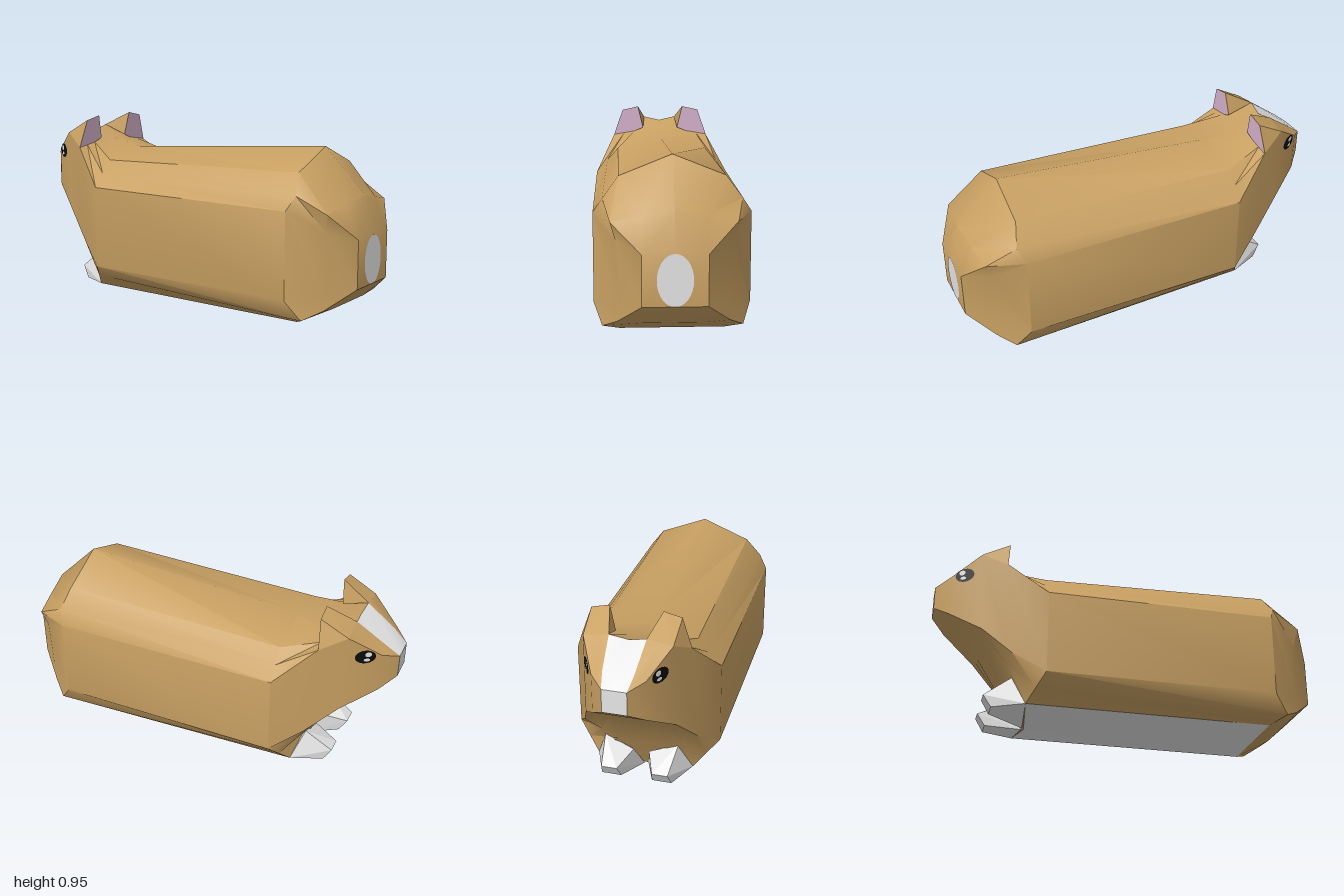
import * as THREE from 'three';
import { toCreasedNormals } from 'three/addons/utils/BufferGeometryUtils.js';
import { ConvexGeometry } from 'three/addons/geometries/ConvexGeometry.js';

const mat = (name, color) => {
  const m = new THREE.MeshStandardMaterial({ color });
  m.name = name;
  return m;
};
const V = (x, y, z = 0) => new THREE.Vector3(x, y, z);
const mid = (a, b) => a.clone().lerp(b, 0.5);
const mirror = p => V(p.x, p.y, -p.z);

// Half cross-section from spine to belly; the bevel points default to midpoints.
function section(ridge, shoulder, side, low, keel, belly, upper, lower) {
  const [r, s, d, l, k, b] = [ridge, shoulder, side, low, keel, belly].map(p => V(...p));
  return [r, s, upper ? V(...upper) : mid(s, d), d, l, lower ? V(...lower) : mid(l, k), k, b];
}

// Rectangular end section.
const endSection = (x, bottom, top, z) =>
  section([x, top], [x, top, z], [x, top, z], [x, bottom, z], [x, bottom, z], [x, bottom]);

// Body sections from nose to rump.
const makeSections = () => [
  endSection(-1, .6, .72, .06),
  section([-.93, .775], [-.93, .775, .075], [-.93, .75, .13], [-.93, .545, .13], [-.93, .545, .06], [-.93, .545]),
  section([-.77, .86], [-.78, .88, .09], [-.78, .86, .215], [-.76, .43, .226], [-.76, .43, .1], [-.76, .43]),
  section([-.65, .825], [-.65, .81, .15], [-.65, .79, .27], [-.61, .285, .29], [-.61, .2, .12], [-.61, .2]),
  section([-.45, .785], [-.45, .735, .25], [-.45, .6, .37], [-.45, .17, .37], [-.53, .04, .25], [-.5, 0]),
  section([.73, .87], [.73, .77, .25], [.73, .6, .37], [.73, .17, .37], [.73, .04, .25], [.73, .04],
    [.76, .67, .325], [.8, .075, .33]),
  section([.95, .65], [.93, .62, .15], [.89, .5, .265], [.89, .19, .25], [.88, .11, .15], [.88, .11],
    [.91, .59, .29], [.88, .12, .26]),
  endSection(1, .22, .46, .15),
];

function bodyGeometry() {
  const sections = makeSections();
  const coat = [], pale = [];
  const tri = (list, a, b, c) => {
    const area = b.clone().sub(a).cross(c.clone().sub(a)).length();
    if (area > 1e-6) list.push(a, b, c);
  };
  const quad = (list, a, b, c, d) => { tri(list, a, b, c); tri(list, a, c, d); };

  for (let i = 0; i < sections.length - 1; i++) {
    const [front, back] = [sections[i], sections[i + 1]];
    for (let j = 0; j < 7; j++) {
      const blaze = i < 2 && j === 0, belly = i === 4 && j === 6;
      const list = blaze || belly ? pale : coat;
      const q = [front[j], front[j + 1], back[j + 1], back[j]];
      quad(list, ...q);
      quad(list, ...q.map(mirror).reverse());
    }
  }
  // nose and rump end faces
  const nose = sections[0], rump = sections[7];
  quad(pale, mirror(nose[4]), nose[4], nose[3], mirror(nose[3]));
  quad(coat, rump[4], mirror(rump[4]), mirror(rump[3]), rump[3]);

  const g = toCreasedNormals(new THREE.BufferGeometry().setFromPoints([...coat, ...pale]), 0.6);
  g.addGroup(0, coat.length, 0);
  g.addGroup(coat.length, pale.length, 1);
  return g;
}

export function createModel() {
  const group = new THREE.Group();
  const tan = mat('tan coat', 0xc8a062);
  const white = mat('white fur', 0xe6e6e6);
  const pink = mat('pink ear', 0xdfbad6);
  const black = mat('black eye', 0x0c0c0c);
  const add = (name, geometry, material, parent = group) => {
    const mesh = new THREE.Mesh(geometry, material);
    mesh.name = name;
    parent.add(mesh);
    return mesh;
  };

  add('body', bodyGeometry(), [tan, white]);

  // oval rump patch
  const patch = add('rumpPatch', new THREE.CircleGeometry(1, 32), white);
  patch.scale.set(.083, .122, 1);
  patch.rotation.y = Math.PI / 2;
  patch.position.set(1.002, .342, 0);

  for (const s of [1, -1]) {
    const side = s > 0 ? 'left' : 'right';

    // ear wedge with a pink rear face
    const rim = [[.79, .27], [.935, .22], [.955, .13], [.83, .1], [.81, .15]]
      .map(([y, z]) => V(-.65 + (y - .79) * .09, y, z * s));
    add(side + 'Ear', new ConvexGeometry([...rim, V(-.78, .88, .09 * s), V(-.78, .86, .215 * s)]), tan);
    const inner = rim.map(p => p.clone().setX(p.x + .004));
    const fan = [];
    for (let i = 1; i < 4; i++) {
      const [b, c] = s > 0 ? [i + 1, i] : [i, i + 1];
      fan.push(inner[0], inner[b], inner[c]);
    }
    const lining = new THREE.BufferGeometry().setFromPoints(fan);
    lining.computeVertexNormals();
    add(side + 'EarLining', lining, pink);

    // eye with two glints, lying on the cheek
    const eye = new THREE.Group();
    eye.name = side + 'Eye';
    eye.position.set(-.858, .75, .173 * s);
    eye.rotation.y = s > 0 ? -.516 : Math.PI + .516;
    group.add(eye);
    const disc = (name, material, x, y, z, rx, ry) => {
      const d = add(name, new THREE.CircleGeometry(1, 24), material, eye);
      d.position.set(x * s, y, z);
      d.scale.set(rx, ry, 1);
    };
    disc('eyeball', black, 0, 0, .003, .052, .038);
    disc('upperGlint', white, -.014, .014, .005, .017, .014);
    disc('lowerGlint', white, -.008, -.017, .005, .016, .009);

    // front paw
    const paw = [[-.53, .04, .25], [-.59, .2, .19], [-.6, .14, .04], [-.73, .1, .17], [-.73, .1, .09],
      [-.69, .035, .18], [-.69, .035, .08], [-.51, .002, .01], [-.5, .1, .1]];
    add(side + 'Paw', new ConvexGeometry(paw.map(([x, y, z]) => V(x, y, z * s))), white);
  }
  return group;
}
